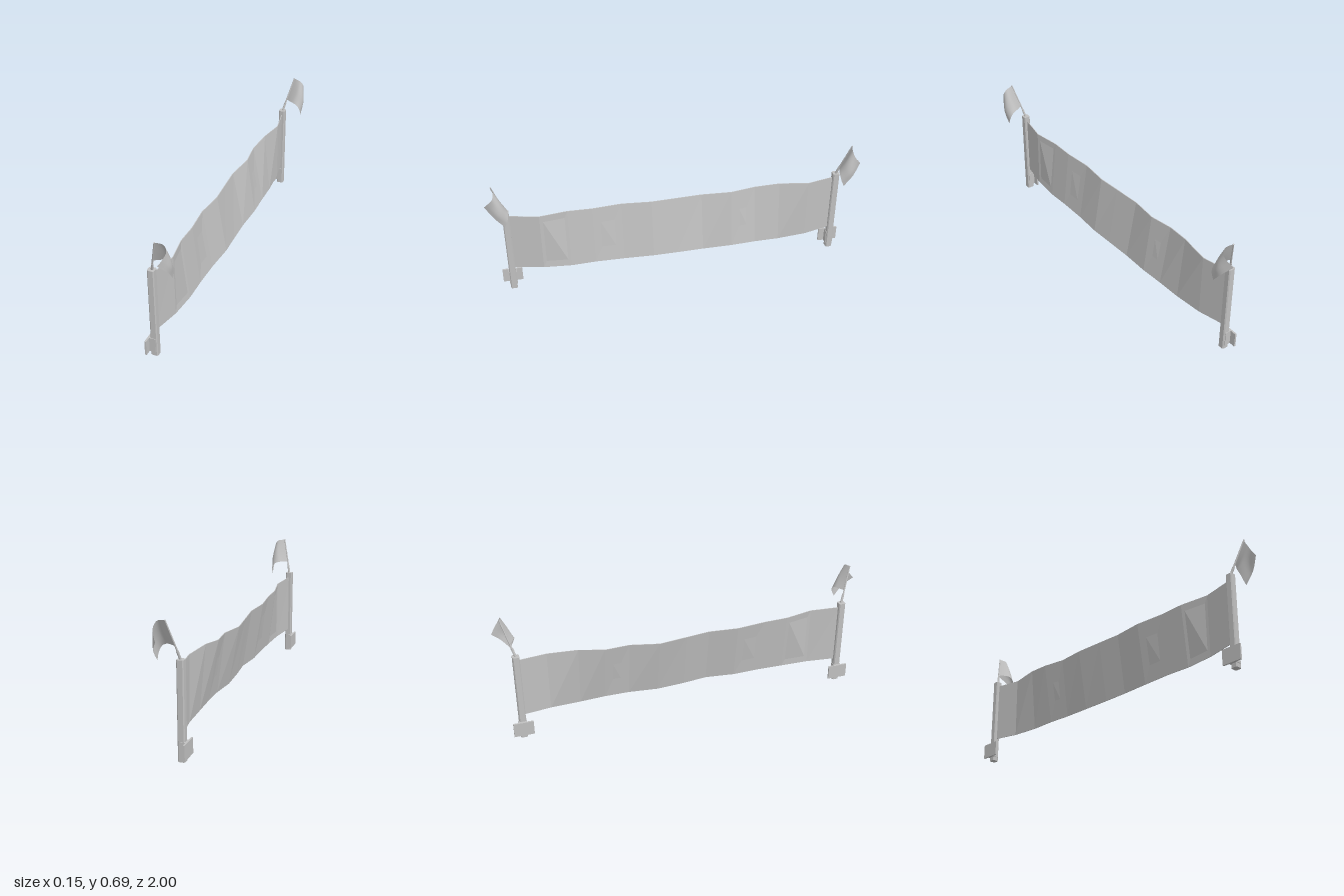
import * as THREE from 'three';

const grey = new THREE.MeshStandardMaterial({ color: 0xc0c0c0, side: THREE.DoubleSide });
grey.name = 'plain grey';

const V = (x, y, z) => new THREE.Vector3(x, y, z);

function mesh(name, geometry) {
  const m = new THREE.Mesh(geometry, grey);
  m.name = name;
  return m;
}

// Skin a grid of points: rows of equal length
function skin(rows, flat) {
  const n = rows[0].length, index = [];
  for (let i = 0; i < rows.length - 1; i++) {
    for (let j = 0; j < n - 1; j++) {
      const a = i * n + j, c = a + n;
      index.push(a, a + 1, c, a + 1, c + 1, c);
    }
  }
  let g = new THREE.BufferGeometry().setFromPoints(rows.flat());
  g.setIndex(index);
  if (flat) g = g.toNonIndexed();
  g.computeVertexNormals();
  return g;
}

// Round bar between two points
function bar(name, a, b, r0, r1, sides) {
  const d = b.clone().sub(a);
  const m = mesh(name, new THREE.CylinderGeometry(r1, r0, d.length(), sides).toNonIndexed());
  m.geometry.computeVertexNormals();
  m.position.copy(a).addScaledVector(d, 0.5);
  m.quaternion.setFromUnitVectors(V(0, 1, 0), d.normalize());
  return m;
}

function box(name, x0, x1, y0, y1, z, depth) {
  const m = mesh(name, new THREE.BoxGeometry(x1 - x0, y1 - y0, depth));
  m.position.set((x0 + x1) / 2, (y0 + y1) / 2, z);
  return m;
}

// Square post with chamfered corners
function post(z) {
  const h = 0.018, c = 0.013;
  const s = new THREE.Shape([[h, -c], [h, c], [c, h], [-c, h], [-h, c], [-h, -c], [-c, -h], [c, -h]]
    .map(p => new THREE.Vector2(...p)));
  const g = new THREE.ExtrudeGeometry(s, { depth: 0.495, bevelEnabled: false }).rotateX(-Math.PI / 2);
  const m = mesh('post', g);
  m.position.set(-0.045, 0, z);
  return m;
}

// Curling flag: lower, middle and upper edges, from the pole to the free end
const flagRows = [
  [[-0.026, 0.56, 0.919], [0, 0.56, 0.902], [0.025, 0.558, 0.889], [0.05, 0.546, 0.886], [0.065, 0.515, 0.892], [0.066, 0.48, 0.908]],
  [[-0.01, 0.624, 0.938], [0.02, 0.622, 0.924], [0.045, 0.615, 0.915], [0.067, 0.59, 0.92], [0.074, 0.562, 0.937], [0.065, 0.54, 0.955]],
  [[0.005, 0.687, 0.957], [0.025, 0.685, 0.95], [0.048, 0.678, 0.947], [0.062, 0.652, 0.956], [0.052, 0.622, 0.98], [0.035, 0.595, 1.0]],
];

function flag(side) {
  const rows = flagRows.map(r => new THREE.CatmullRomCurve3(r.map(p => V(p[0], p[1], p[2] * side))));
  const grid = [];
  for (let i = 0; i <= 16; i++) {
    const across = new THREE.CatmullRomCurve3(rows.map(c => c.getPoint(i / 16)));
    grid.push(across.getPoints(8));
  }
  return mesh('flag', skin(grid));
}

// Wavy banner: z, top x, top y, bottom x, bottom y
const stations = [
  [-0.89, -0.045, 0.47, -0.045, 0.135],
  [-0.74, -0.02, 0.465, -0.017, 0.128],
  [-0.58, -0.042, 0.47, -0.007, 0.125],
  [-0.445, -0.06, 0.455, -0.003, 0.128],
  [-0.31, -0.045, 0.45, 0.0, 0.125],
  [-0.15, -0.068, 0.441, -0.009, 0.119],
  [0.0, -0.056, 0.446, -0.003, 0.122],
  [0.13, -0.045, 0.45, 0.005, 0.128],
  [0.29, -0.06, 0.45, -0.008, 0.124],
  [0.45, -0.045, 0.452, -0.008, 0.127],
  [0.58, -0.045, 0.455, -0.007, 0.124],
  [0.73, -0.019, 0.46, -0.016, 0.128],
  [0.89, -0.045, 0.468, -0.045, 0.135],
];

function banner() {
  const t = 0.002;
  const rings = stations.map(([z, tx, ty, bx, by]) => [
    V(bx + t, by, z), V(tx + t, ty, z), V(tx - t, ty, z), V(bx - t, by, z), V(bx + t, by, z),
  ]);
  return mesh('banner', skin(rings, true));
}

export function createModel() {
  const model = new THREE.Group();
  model.name = 'banner between posts';
  model.add(banner());

  for (const side of [1, -1]) {
    const end = new THREE.Group();
    end.name = side > 0 ? 'frontPost' : 'backPost';
    const z = 0.9 * side;
    end.add(
      post(z),
      // Clamp around the foot of the post with its mounting plate
      box('clampBlock', -0.068, -0.036, 0.022, 0.102, z, 0.042),
      box('mountingPlate', -0.077, -0.068, 0.022, 0.102, z, 0.107),
      // Leaning flag pole in its socket
      bar('poleSocket', V(-0.045, 0.485, 0.897 * side), V(-0.033, 0.538, 0.913 * side), 0.0065, 0.0065, 8),
      bar('flagPole', V(-0.034, 0.535, 0.912 * side), V(0.005, 0.689, 0.957 * side), 0.0045, 0.0035, 8),
      flag(side),
    );
    model.add(end);
  }
  return model;
}
